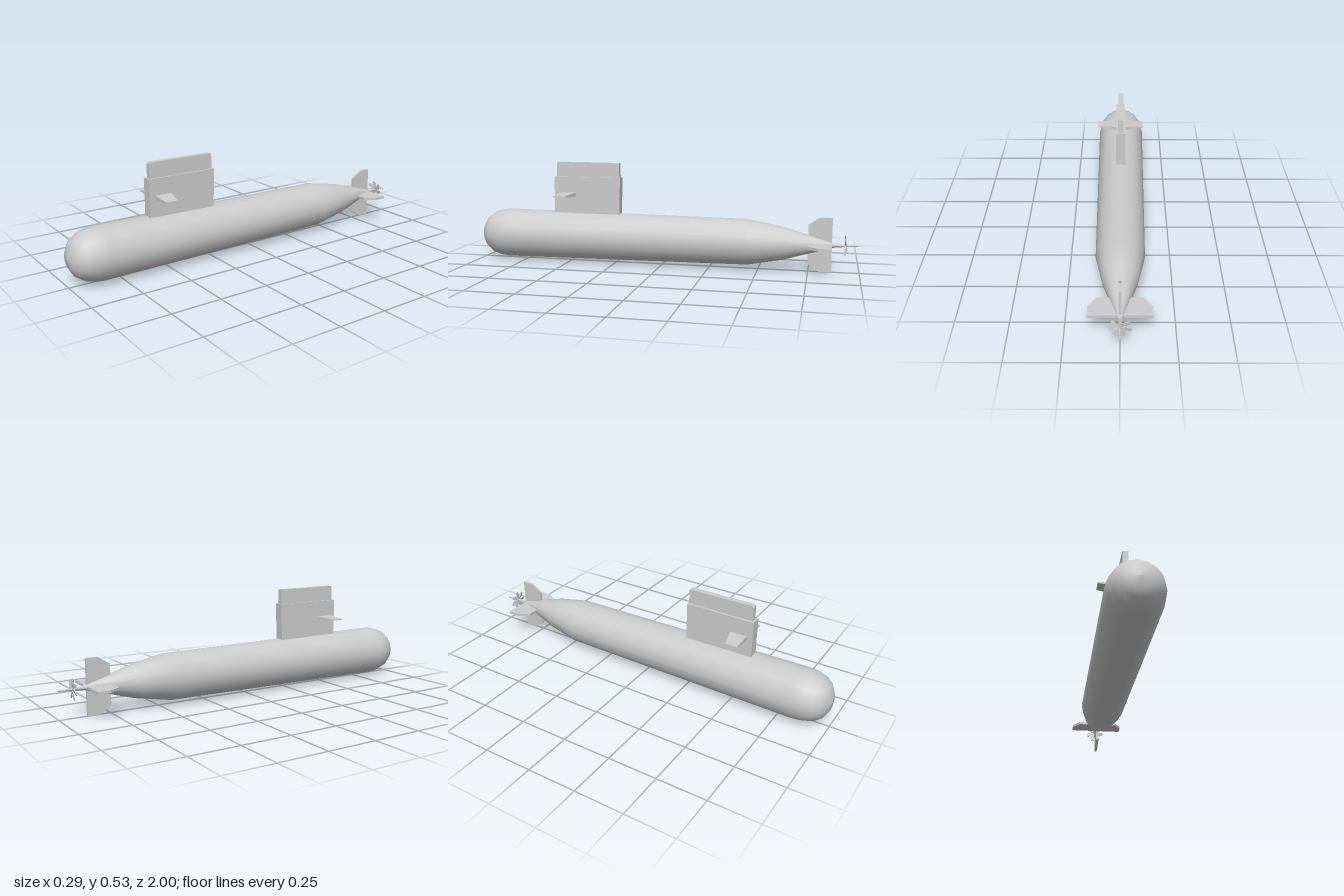
import * as THREE from 'three';

const AXIS_Y = 0.137;

export function createModel() {
  const model = new THREE.Group();
  const smooth = new THREE.MeshStandardMaterial({ color: 0xcccccc });
  const flat = new THREE.MeshStandardMaterial({ color: 0xcccccc, flatShading: true });

  const add = (parent, name, geometry, material = flat) => {
    const mesh = new THREE.Mesh(geometry, material);
    mesh.name = name;
    parent.add(mesh);
    return mesh;
  };
  const shapeOf = (pts) => new THREE.Shape(pts.map(([x, y]) => new THREE.Vector2(x, y)));

  // Hull: 16-sided body of revolution, profile given as [radius, z] from tail to nose
  const profile = [
    [0.012, -0.875], [0.045, -0.76], [0.086, -0.62], [0.118, -0.45], [0.131, 0.84],
    [0.126, 0.89], [0.112, 0.935], [0.086, 0.97], [0.05, 0.992], [0, 1],
  ].map(([r, z]) => new THREE.Vector2(r, z));
  const hull = add(model, 'hull', new THREE.LatheGeometry(profile, 16).rotateX(Math.PI / 2), smooth);
  hull.position.y = AXIS_Y;

  // Propeller shaft, thinning towards its end
  const shaftProfile = [[0, -1], [0.004, -1], [0.006, -0.93], [0.012, -0.875]]
    .map(([r, z]) => new THREE.Vector2(r, z));
  const shaft = add(model, 'propellerShaft', new THREE.LatheGeometry(shaftProfile, 10).rotateX(Math.PI / 2));
  shaft.position.y = AXIS_Y;

  // Sail: broad lower tower and a narrower upper block, extruded from side outlines in (z, y)
  const slab = (name, pts, width) => {
    const g = new THREE.ExtrudeGeometry(shapeOf(pts), { depth: width, bevelEnabled: false });
    g.translate(0, 0, -width / 2).rotateY(-Math.PI / 2);
    add(model, name, g);
  };
  slab('sail', [[0.228, 0.2], [0.584, 0.2], [0.584, 0.45], [0.222, 0.45]], 0.05);
  slab('sailTop', [[0.228, 0.44], [0.573, 0.44], [0.573, 0.522], [0.565, 0.528], [0.23, 0.526]], 0.028);

  // Sail planes: tapered boxes with a straight leading edge
  for (const side of [1, -1]) {
    const g = new THREE.BoxGeometry(0.107, 1, 1);
    const p = g.attributes.position;
    for (let i = 0; i < p.count; i++) {
      const tip = p.getX(i) * side > 0;
      p.setY(i, p.getY(i) * (tip ? 0.006 : 0.023));
      p.setZ(i, p.getZ(i) > 0 ? 0.553 : tip ? 0.489 : 0.466);
    }
    const plane = add(model, side > 0 ? 'leftSailPlane' : 'rightSailPlane', g);
    plane.position.set(side * 0.0735, 0.356, 0);
  }

  // Four stern fins, clipped at the leading outer corner
  const finNames = ['leftSternPlane', 'upperRudder', 'rightSternPlane', 'lowerRudder'];
  finNames.forEach((name, i) => {
    const span = i % 2 ? 0.137 : 0.143;
    const outline = shapeOf([[0, -0.865], [span, -0.865], [span, -0.805], [span - 0.037, -0.748], [0, -0.748]]);
    const g = new THREE.ExtrudeGeometry(outline, { depth: 0.013, bevelEnabled: false });
    g.translate(0, 0, -0.0065).rotateX(Math.PI / 2);
    const fin = add(model, name, g);
    fin.rotation.z = (i * Math.PI) / 2;
    fin.position.y = AXIS_Y;
  });

  // Propeller: seven skewed blades
  const propeller = new THREE.Group();
  propeller.name = 'propeller';
  propeller.position.set(0, AXIS_Y, -0.931);
  model.add(propeller);
  const bladeShape = shapeOf([
    [0, -0.004], [0.02, -0.009], [0.036, -0.009], [0.048, -0.003],
    [0.052, 0.007], [0.046, 0.013], [0.03, 0.009], [0.015, 0.004], [0, 0.004],
  ]);
  const bladeGeometry = new THREE.ExtrudeGeometry(bladeShape, { depth: 0.004, bevelEnabled: false });
  bladeGeometry.translate(0, 0, -0.002).rotateX(0.2);
  for (let i = 0; i < 7; i++) {
    add(propeller, 'propellerBlade', bladeGeometry).rotation.z = Math.PI / 2 + (i * Math.PI * 2) / 7;
  }

  return model;
}
